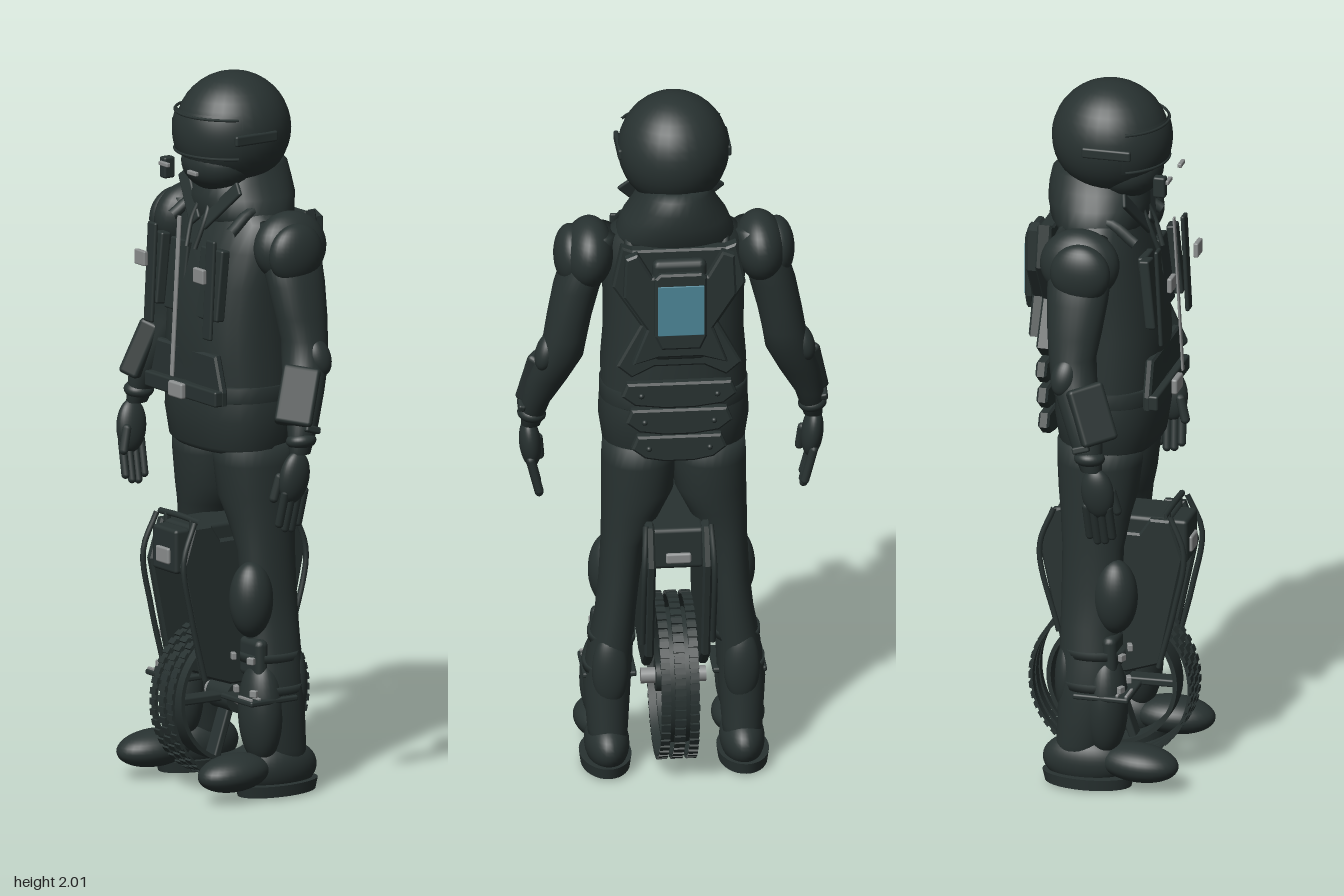
import * as THREE from 'three';
import { toCreasedNormals } from 'three/addons/utils/BufferGeometryUtils.js';
import { RoundedBoxGeometry } from 'three/addons/geometries/RoundedBoxGeometry.js';

const mat = (name, color) => Object.assign(new THREE.MeshStandardMaterial({ color }), { name });
const dark = mat('dark suit', 0x283231);
const grey = mat('grey metal', 0x8b8e8e);
const teal = mat('teal screen', 0x4d8698);

// Closed loft through rounded sections [y, cx, cz, rx, rz], from bottom to top
function loft(sections, s = 1, e = 0.85, n = 32) {
  const pos = [], idx = [];
  const bend = v => Math.sign(v) * Math.abs(v) ** e;
  for (const [y, cx, cz, rx, rz] of sections)
    for (let i = 0; i < n; i++) {
      const a = (i / n) * Math.PI * 2;
      pos.push(cx * s + rx * bend(Math.cos(a)), y, cz + rz * bend(Math.sin(a)));
    }
  const rows = sections.length, top = sections[rows - 1], low = sections[0];
  pos.push(low[1] * s, low[0], low[2], top[1] * s, top[0], top[2]);
  for (let i = 0; i < n; i++) {
    const j = (i + 1) % n;
    for (let r = 0; r < rows - 1; r++) {
      const a = r * n + i, b = r * n + j;
      idx.push(a, a + n, b, b, a + n, b + n);
    }
    idx.push(rows * n, i, j, rows * n + 1, (rows - 1) * n + j, (rows - 1) * n + i);
  }
  const g = new THREE.BufferGeometry();
  g.setAttribute('position', new THREE.Float32BufferAttribute(pos, 3));
  g.setIndex(idx);
  g.computeVertexNormals();
  return g;
}

const ball = (x, y, z) => new THREE.SphereGeometry(1, 32, 20).scale(x, y, z);
const box = (x, y, z, r = 0.006) => new RoundedBoxGeometry(x, y, z, 2, Math.min(r, x / 2.1, y / 2.1, z / 2.1));

// Flat plate from a right-half outline mirrored across x = 0
function plate(half, depth) {
  const all = [...half, ...half.slice().reverse().map(([x, y]) => [-x, y])];
  return slab(all, depth);
}
function slab(points, depth) {
  const shape = new THREE.Shape(points.map(p => new THREE.Vector2(...p)));
  return new THREE.ExtrudeGeometry(shape, { depth, bevelThickness: 0.006, bevelSize: 0.006, bevelSegments: 1 }).translate(0, 0, -depth / 2);
}

// Ring with a rectangular section, turning about the x axis
function ring(r0, r1, half) {
  const p = [[r0, -half], [r1, -half], [r1, half], [r0, half], [r0, -half]].map(q => new THREE.Vector2(...q));
  return toCreasedNormals(new THREE.LatheGeometry(p, 64).rotateZ(Math.PI / 2), 0.6);
}

function rod(points, radius) {
  const curve = new THREE.CatmullRomCurve3(points.map(p => new THREE.Vector3(...p)));
  return new THREE.TubeGeometry(curve, 16, radius, 8);
}

export function createModel() {
  const model = new THREE.Group();
  const add = (name, geo, p = [0, 0, 0], r = [0, 0, 0], m = dark, parent = model) => {
    const mesh = new THREE.Mesh(geo, m);
    mesh.name = name;
    mesh.position.set(...p);
    mesh.rotation.set(...r);
    parent.add(mesh);
  };

  // Helmet
  add('helmet', ball(0.154, 0.16, 0.163), [0, 1.84, -0.008]);
  add('chin', ball(0.112, 0.085, 0.1), [0, 1.755, 0.04]);
  add('visor', new THREE.SphereGeometry(1, 32, 12, Math.PI / 2 - 1.15, 2.3, 1.17, 0.78).scale(0.16, 0.166, 0.17), [0, 1.84, -0.006]);
  for (const [y, r] of [[1.895, 0.154], [1.785, 0.155]])
    add('visorRim', new THREE.TorusGeometry(r, 0.004, 6, 40, 2.2).rotateZ(Math.PI / 2 - 1.1).rotateX(Math.PI / 2), [0, y, 0]);
  add('helmetCamera', box(0.028, 0.06, 0.035), [-0.083, 1.735, 0.155]);
  for (const s of [-1, 1]) {
    add('earPod', box(0.014, 0.03, 0.14), [s * 0.15, 1.84, 0.02]);
    add('visorClip', box(0.042, 0.012, 0.012, 0.003), [s * 0.068, 1.748, 0.175], [0, 0, 0], grey);
  }

  // Jacket, hood and closures
  add('jacket', loft([[0.955, 0, 0, 0.18, 0.125], [0.97, 0, 0, 0.196, 0.14], [1.05, 0, 0, 0.208, 0.152], [1.1, 0, 0, 0.205, 0.15],
    [1.135, 0, 0, 0.2, 0.147], [1.2, 0, 0.004, 0.202, 0.15], [1.3, 0, 0.004, 0.194, 0.148], [1.42, 0, 0, 0.196, 0.138],
    [1.52, 0, -0.01, 0.2, 0.122], [1.6, 0, -0.022, 0.19, 0.105], [1.65, 0, -0.03, 0.12, 0.09], [1.7, 0, -0.03, 0.09, 0.08]]));
  add('hood', loft([[1.575, 0, -0.035, 0.16, 0.11], [1.61, 0, -0.035, 0.166, 0.133], [1.66, 0, -0.04, 0.145, 0.14],
    [1.7, 0, -0.045, 0.118, 0.133], [1.74, 0, -0.05, 0.1, 0.12], [1.76, 0, -0.05, 0.09, 0.1]], 1, 0.95));
  add('zipper', box(0.015, 0.45, 0.006, 0.002), [0, 1.39, 0.185], [-0.057, 0, 0], grey);
  add('belt', loft([[1.1, 0, 0, 0.198, 0.151], [1.105, 0, 0, 0.205, 0.157], [1.145, 0, 0, 0.205, 0.157], [1.15, 0, 0, 0.198, 0.151]]));
  add('beltFront', box(0.34, 0.044, 0.03), [0, 1.125, 0.157]);
  add('buckle', box(0.066, 0.044, 0.018), [0, 1.125, 0.181], [0, 0, 0], grey);
  add('waistPanel', plate([[0.165, 1.11], [0.165, 1.14], [0.135, 1.235]], 0.012), [0, 0, 0.14]);
  for (const s of [-1, 1]) {
    add('drawstring', rod([[s * 0.02, 1.66, 0.08], [s * 0.03, 1.6, 0.108], [s * 0.02, 1.52, 0.135]], 0.007));
    add('lapel', box(0.045, 0.17, 0.012), [s * 0.075, 1.645, 0.085], [-0.35, 0, s * -0.75]);
    add('chestPouch', box(0.085, 0.2, 0.025), [s * 0.072, 1.43, 0.122], [-0.12, 0, 0]);
    add('chestStrap', box(0.045, 0.2, 0.03), [s * 0.14, 1.44, 0.14], [-0.1, s * 0.1, 0]);
    add('chestBar', box(0.04, 0.28, 0.012), [s * 0.14, 1.43, 0.17], [-0.05, 0, 0]);
    add('chestClip', box(0.05, 0.042, 0.014, 0.004), [s * 0.14, 1.475, 0.203], [0, 0, 0], grey);
    add('shoulderStrap', rod([[s * 0.14, 1.58, 0.1], [s * 0.13, 1.63, 0.02], [s * 0.13, 1.615, -0.09], [s * 0.13, 1.5, -0.145]], 0.016));

    // Arms
    add('arm', loft([[1.0, 0.39, 0.042, 0.026, 0.03], [1.08, 0.378, 0.024, 0.04, 0.045], [1.16, 0.348, 0, 0.056, 0.056],
      [1.24, 0.315, -0.028, 0.063, 0.064], [1.3, 0.302, -0.035, 0.06, 0.066], [1.36, 0.291, -0.033, 0.061, 0.075],
      [1.45, 0.27, -0.03, 0.064, 0.085], [1.54, 0.24, -0.03, 0.066, 0.09], [1.61, 0.21, -0.03, 0.05, 0.07]], s, 0.95));
    add('shoulderPad', ball(0.07, 0.1, 0.112), [s * 0.238, 1.545, -0.032], [0, 0, s * 0.1]);
    add('shoulderCap', ball(0.047, 0.085, 0.085), [s * 0.286, 1.535, -0.018]);
    add('elbowPad', ball(0.03, 0.055, 0.036), [s * 0.355, 1.255, -0.045], [0.2, 0, s * 0.3]);
    add('forearmGuard', box(0.06, 0.165, 0.105, 0.012), [s * 0.368, 1.155, 0.034], [-0.2, s * -0.65, s * 0.25]);
    add('cuff', ball(0.04, 0.025, 0.043), [s * 0.388, 1.035, 0.036], [0, 0, s * 0.15]);
    add('wristClip', box(0.02, 0.02, 0.05), [s * 0.418, 1.07, 0.02], [-0.3, 0, s * 0.2]);
    add('palm', ball(0.03, 0.075, 0.046), [s * 0.39, 0.935, 0.06], [-0.1, 0, s * -0.1]);
    for (let i = 0; i < 4; i++)
      add('finger', new THREE.CapsuleGeometry(0.012, 0.115 - Math.abs(i - 1.4) * 0.014, 4, 10), [s * 0.379, 0.836 + Math.abs(i - 1.4) * 0.008, 0.03 + i * 0.021], [-0.05, 0, s * -0.25]);
    add('thumb', new THREE.CapsuleGeometry(0.013, 0.06, 4, 10), [s * 0.362, 0.905, 0.1], [-0.25, 0, s * -0.1]);

    // Legs, guards and shoes
    add('leg', loft([[0.05, 0.185, -0.055, 0.05, 0.06], [0.12, 0.186, -0.045, 0.056, 0.066], [0.25, 0.186, -0.02, 0.066, 0.085],
      [0.36, 0.176, -0.02, 0.062, 0.085], [0.46, 0.163, -0.025, 0.056, 0.08], [0.56, 0.152, -0.02, 0.056, 0.085],
      [0.68, 0.14, -0.02, 0.062, 0.086], [0.77, 0.117, -0.018, 0.084, 0.098], [0.83, 0.101, -0.015, 0.099, 0.11],
      [0.92, 0.098, -0.012, 0.102, 0.118], [0.98, 0.096, -0.01, 0.1, 0.12]], s, 0.95));
    add('kneePad', ball(0.059, 0.107, 0.062), [s * 0.172, 0.548, 0.052]);
    add('shinGuard', ball(0.07, 0.15, 0.06), [s * 0.187, 0.235, 0.03]);
    add('shinPlate', box(0.1, 0.11, 0.04, 0.018), [s * 0.175, 0.385, 0.045]);
    add('calfPad', ball(0.05, 0.11, 0.036), [s * 0.182, 0.3, -0.08]);
    for (const [y, x] of [[0.385, 0.172], [0.295, 0.185]]) {
      add('legStrap', loft([[y - 0.011, x, -0.01, 0.066, 0.088], [y + 0.011, x, -0.01, 0.066, 0.088]], s, 0.95));
      for (const side of [-1, 1])
        add('strapClip', box(0.022, 0.02, 0.014, 0.003), [s * (x + side * 0.042), y, 0.082], [0, side * s * 0.4, 0], grey);
    }
    add('shoeToe', ball(0.074, 0.052, 0.115), [s * 0.19, 0.072, 0.122], [0.05, s * 0.08, 0]);
    add('shoeHeel', ball(0.062, 0.075, 0.12), [s * 0.187, 0.068, -0.03]);
    add('shoeSole', new THREE.CylinderGeometry(1, 0.94, 0.032, 32).scale(0.072, 1, 0.13), [s * 0.19, 0.016, -0.02]);

    // Vehicle sides
    add('sidePlate', slab([[0.15, 0.33], [0.215, 0.64], [0.18, 0.745], [0.13, 0.745], [0.1, 0.7], [-0.09, 0.7], [-0.12, 0.755],
      [-0.145, 0.75], [-0.182, 0.65], [-0.12, 0.36], [-0.04, 0.3], [0.06, 0.3]], 0.014).rotateY(-Math.PI / 2), [s * 0.078, 0, 0]);
    add('frontRail', rod([[s * 0.097, 0.32, 0.155], [s * 0.097, 0.5, 0.2], [s * 0.097, 0.66, 0.226], [s * 0.09, 0.765, 0.185]], 0.008));
    add('rearRail', rod([[s * 0.097, 0.4, -0.13], [s * 0.097, 0.64, -0.185], [s * 0.09, 0.76, -0.145]], 0.008));
    add('pedal', box(0.15, 0.016, 0.16), [s * 0.18, 0.272, 0.03]);
    for (let i = 0; i < 2; i++)
      add('pedalGrip', box(0.065, 0.008, 0.008, 0.002), [s * 0.216, 0.282, 0.076 + i * 0.026], [0, 0, 0], grey);
    add('handlePost', box(0.014, 0.1, 0.02), [s * 0.06, 0.72, 0.17]);
  }

  // Backpack, screen and spine slats
  add('backpackCore', box(0.15, 0.3, 0.09, 0.02), [0, 1.43, -0.155]);
  add('backpackBase', plate([[0.13, 1.6], [0.155, 1.61], [0.178, 1.5], [0.1, 1.38], [0.165, 1.26], [0.13, 1.23], [0.07, 1.26]], 0.03), [0, 0, -0.155]);
  add('backpackShell', plate([[0.08, 1.53], [0.12, 1.6], [0.145, 1.59], [0.15, 1.48], [0.085, 1.38], [0.125, 1.28], [0.06, 1.3]], 0.024), [0, 0, -0.19]);
  add('screenFrame', plate([[0.055, 1.55], [0.066, 1.54], [0.066, 1.37], [0.05, 1.335]], 0.012), [0, 0, -0.222]);
  add('screen', box(0.128, 0.148, 0.008, 0.002), [0, 1.447, -0.233], [0, 0, 0], teal);
  [[1.17, 0.14], [1.09, 0.128], [1.01, 0.112]].forEach(([y, w]) => {
    add('spineSlat', plate([[w, y + 0.03], [w + 0.012, y], [w - 0.02, y - 0.025], [0.04, y - 0.035]], 0.02), [0, 0, -0.166]);
    for (const s of [-1, 1])
      add('slatStud', ball(0.008, 0.008, 0.008), [s * w * 0.75, y, -0.182]);
  });

  // Vehicle body
  add('batteryCase', box(0.145, 0.12, 0.33, 0.012), [0, 0.69, 0.015]);
  add('frontHousing', box(0.115, 0.125, 0.05, 0.01), [0, 0.68, 0.2]);
  add('headlamp', box(0.062, 0.046, 0.014), [0, 0.665, 0.226], [0, 0, 0], grey);
  add('rearLamp', box(0.07, 0.03, 0.014), [0, 0.665, -0.155], [0, 0, 0], grey);
  add('handleBar', rod([[-0.095, 0.765, 0.17], [0, 0.768, 0.17], [0.095, 0.765, 0.17]], 0.009));

  // Wheel
  const wheel = new THREE.Group();
  wheel.name = 'wheel';
  wheel.position.set(0, 0.243, 0.004);
  model.add(wheel);
  const o = [0, 0, 0];
  for (const x of [-0.04, 0, 0.04]) {
    add('tyreBand', ring(0.221, 0.227, x ? 0.012 : 0.014), [x, 0, 0], o, dark, wheel);
    for (let i = 0; i < 48; i++) {
      const a = ((i + (x ? 0 : 0.5)) / 48) * Math.PI * 2;
      add('treadBlock', new THREE.BoxGeometry(x ? 0.026 : 0.03, 0.009, 0.018), [x, Math.cos(a) * 0.228, Math.sin(a) * 0.228], [a, 0, 0], dark, wheel);
    }
  }
  add('rim', ring(0.174, 0.186, 0.034), o, o, dark, wheel);
  add('hub', new THREE.CylinderGeometry(0.045, 0.045, 0.1, 24).rotateZ(Math.PI / 2), o, o, dark, wheel);
  add('axle', new THREE.CylinderGeometry(0.022, 0.022, 0.18, 20).rotateZ(Math.PI / 2), o, o, grey, wheel);
  for (let i = 0; i < 5; i++) {
    const a = (i / 5) * Math.PI * 2 + 0.3;
    add('spoke', box(0.05, 0.15, 0.022), [0, Math.cos(a) * 0.105, Math.sin(a) * 0.105], [a, 0, 0], dark, wheel);
  }
  return model;
}
